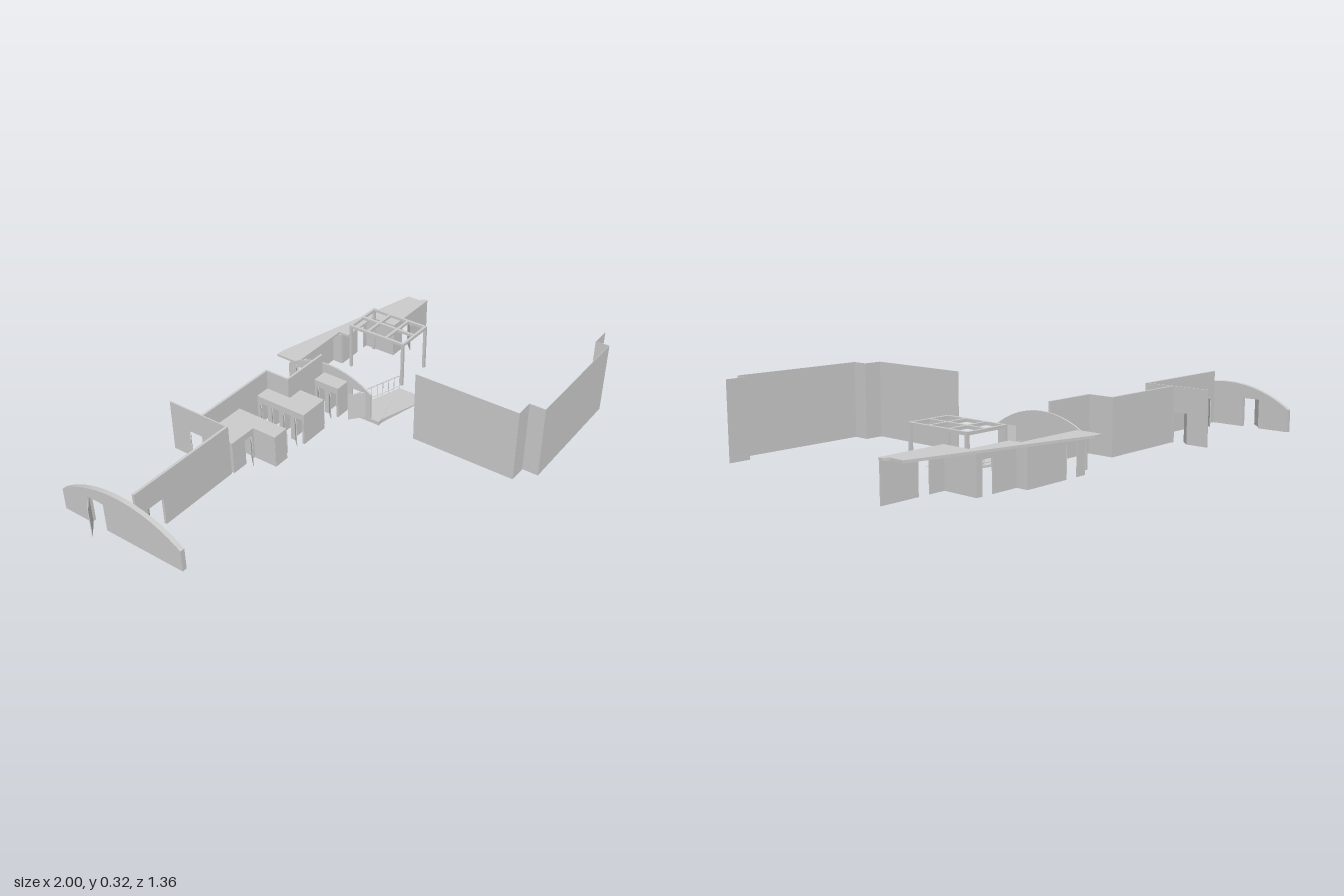
import * as THREE from 'three';

const mat = new THREE.MeshStandardMaterial({ color: 0xcccccc, flatShading: true, side: THREE.DoubleSide });
const FLOOR = 0.02, HIGH = 0.25, LOW = 0.165, DOOR = 0.145, EAVE = 0.15;

export function createModel() {
  const root = new THREE.Group();

  const add = (name, geometry, parent = root) => {
    const mesh = new THREE.Mesh(geometry, mat);
    mesh.name = name;
    parent.add(mesh);
    return mesh;
  };
  const group = (name) => {
    const g = new THREE.Group();
    g.name = name;
    root.add(g);
    return g;
  };
  const box = (name, x0, x1, y0, y1, z0, z1, parent) => {
    const m = add(name, new THREE.BoxGeometry(x1 - x0, y1 - y0, z1 - z0), parent);
    m.position.set((x0 + x1) / 2, (y0 + y1) / 2, (z0 + z1) / 2);
    return m;
  };

  // Upright wall from a to b ([x, z]); doors are [start, end] distances along it.
  // rise > 0 gives the top edge a circular arch.
  function wall(name, a, b, { y0 = FLOOR, y1 = HIGH, t = 0.005, doors = [], door = DOOR, rise = 0, parent = root } = {}) {
    const dx = b[0] - a[0], dz = b[1] - a[1], len = Math.hypot(dx, dz);
    const s = new THREE.Shape();
    s.moveTo(0, y0);
    for (const [d0, d1] of doors) {
      s.lineTo(d0, y0); s.lineTo(d0, door); s.lineTo(d1, door); s.lineTo(d1, y0);
    }
    s.lineTo(len, y0);
    s.lineTo(len, y1);
    if (rise) {
      const h = len / 2, R = (h * h + rise * rise) / (2 * rise);
      for (let i = 1; i < 24; i++) {
        const u = h - (i / 24) * len;
        s.lineTo(h + u, y1 + rise - R + Math.sqrt(R * R - u * u));
      }
    }
    s.lineTo(0, y1);
    const g = new THREE.ExtrudeGeometry(s, { depth: t, bevelEnabled: false });
    g.translate(0, 0, -t / 2);
    const m = add(name, g, parent);
    m.position.set(a[0], 0, a[1]);
    m.rotation.y = -Math.atan2(dz, dx);
    return m;
  }
  const leaf = (a, b, y0 = FLOOR, y1 = DOOR, parent = root) =>
    wall('doorLeaf', a, b, { y0, y1, t: 0.003, parent });

  // Horizontal slab from a plan outline of [x, z] points
  function slab(name, pts, y0, y1, parent) {
    const s = new THREE.Shape(pts.map(([x, z]) => new THREE.Vector2(x, -z)));
    const g = new THREE.ExtrudeGeometry(s, { depth: y1 - y0, bevelEnabled: false });
    g.rotateX(-Math.PI / 2).translate(0, y0, 0);
    return add(name, g, parent);
  }

  // Folded screen standing apart at the front
  const fold = [[0.22, 0.14], [0.22, 0.61], [0.3, 0.61], [0.3, 0.68], [0.87, 0.68], [0.87, 0.62], [0.96, 0.62]];
  const screen = group('foldedScreen');
  for (let i = 1; i < fold.length; i++)
    wall('screenPanel', fold[i - 1], fold[i], { y0: 0, y1: 0.32, t: 0.002, parent: screen });

  // Arched cross walls with their doors
  wall('outerArchWall', [-0.935, -0.68], [-0.935, -0.08], { y1: 0.115, rise: 0.095, t: 0.02, doors: [[0.14, 0.22]] });
  leaf([-0.94, -0.54], [-1, -0.48]);
  wall('innerArchWall', [0.212, -0.505], [0.212, -0.07], { y1: 0.14, rise: 0.07, t: 0.008, doors: [[0.04, 0.11], [0.34, 0.41]], door: 0.14 });
  leaf([0.21, -0.465], [0.165, -0.42]);
  leaf([0.21, -0.095], [0.15, -0.145]);

  // Long high wall, stepping back and forward
  wall('longWall', [-0.925, -0.31], [-0.42, -0.31], { t: 0.011, doors: [[0.055, 0.135]] });
  leaf([-0.87, -0.315], [-0.81, -0.37]);
  wall('crossWall', [-0.42, -0.605], [-0.42, -0.305], { t: 0.006, doors: [[0.095, 0.16]] });
  leaf([-0.42, -0.51], [-0.46, -0.47]);
  wall('rearWall', [-0.42, -0.437], [-0.018, -0.437], { t: 0.01 });
  wall('stepWall', [-0.022, -0.437], [-0.022, -0.32], { t: 0.008 });
  wall('shortWall', [-0.02, -0.325], [0.21, -0.325], { t: 0.01 });

  // Row of small cubicles: doors on side xd, back on side xb
  function cubicles(name, xd, xb, z0, count) {
    const g = group(name), w = 0.06, z1 = z0 + count * w;
    const out = Math.sign(xd - xb), doors = [];
    for (let i = 0; i <= count; i++) {
      const z = z0 + i * w;
      wall('partition', [Math.min(xd, xb), z], [Math.max(xd, xb), z], { y1: LOW, t: 0.003, parent: g });
      if (i === count) break;
      doors.push([i * w + 0.012, i * w + 0.052]);
      leaf([xd, z + 0.015], [xd + out * 0.028, z + 0.043], FLOOR, 0.135, g);
    }
    wall('doorWall', [xd, z0], [xd, z1], { y1: LOW, t: 0.003, doors, door: 0.135, parent: g });
    wall('backWall', [xb, z0], [xb, z1], { y1: LOW, t: 0.003, parent: g });
    box('cubicleRoof', Math.min(xd, xb), Math.max(xd, xb), LOW - 0.004, LOW, z0, z1, g);
  }
  cubicles('westCubicles', -0.21, -0.28, -0.43, 4);
  cubicles('middleCubicles', -0.095, -0.03, -0.43, 4);
  cubicles('innerCubicles', 0.04, -0.03, -0.31, 2);
  cubicles('eastCubicles', 0.14, 0.207, -0.31, 2);

  // Side room joined to the west cubicles
  const room = group('sideRoom');
  box('roomRoof', -0.41, -0.28, LOW - 0.004, LOW, -0.435, -0.3, room);
  wall('roomFront', [-0.41, -0.3], [-0.28, -0.3], { y1: LOW, t: 0.003, doors: [[0.075, 0.115]], door: 0.135, parent: room });
  wall('roomSide', [-0.408, -0.435], [-0.408, -0.3], { y1: LOW, t: 0.003, parent: room });
  leaf([-0.298, -0.3], [-0.33, -0.265], FLOOR, 0.135, room);

  // Low pavilion: stepped front walls under a tapering roof
  const pav = group('pavilion');
  const low = { y0: 0, y1: EAVE, door: 0.125, parent: pav };
  wall('pavilionWall', [0.212, -0.495], [0.52, -0.495], { ...low, doors: [[0.045, 0.105]] });
  wall('pavilionWall', [0.52, -0.495], [0.52, -0.445], low);
  wall('pavilionWall', [0.52, -0.445], [0.715, -0.445], { ...low, doors: [[0.12, 0.17]] });
  wall('pavilionWall', [0.715, -0.445], [0.715, -0.292], low);
  wall('pavilionWall', [0.715, -0.293], [0.998, -0.293], { ...low, doors: [[0.07, 0.12]] });
  leaf([0.315, -0.495], [0.25, -0.43], 0, 0.125, pav);
  leaf([0.835, -0.29], [0.798, -0.252], 0, 0.125, pav);
  slab('pavilionRoof', [[0.212, -0.572], [0.25, -0.57], [0.98, -0.385], [0.98, -0.32], [1, -0.31], [1, -0.29],
    [0.715, -0.29], [0.715, -0.41], [0.522, -0.41], [0.522, -0.46], [0.212, -0.46]], EAVE, 0.16, pav);

  // Pergola: open beam grid on posts
  const pergola = group('pergola'), b = 0.006;
  for (const x of [0.528, 0.62, 0.71]) box('longBeam', x - b, x + b, 0.203, 0.215, -0.404, -0.115, pergola);
  for (const z of [-0.398, -0.308, -0.212, -0.121]) box('crossBeam', 0.522, 0.716, 0.203, 0.215, z - b, z + b, pergola);
  for (const x of [0.528, 0.71]) for (const z of [-0.398, -0.121])
    box('post', x - b, x + b, 0, 0.204, z - b, z + b, pergola);

  // Ramp: a slab whose top falls away towards the outer end
  const ramp = slab('ramp', [[0.212, -0.19], [0.5, -0.113], [0.5, 0.033], [0.24, -0.03], [0.212, -0.03]], 0, 0.018);
  const p = ramp.geometry.attributes.position;
  for (let i = 0; i < p.count; i++)
    if (p.getY(i) > 0.01) p.setY(i, 0.001 + 0.017 * Math.min(1, (0.5 - p.getX(i)) / 0.26));
  ramp.geometry.computeVertexNormals();

  // Railing along the back edge of the ramp
  const rail = group('railing');
  const at = (k, y) => new THREE.Vector3(0.215 + 0.283 * k, y + 0.016 * (1 - k), -0.188 + 0.074 * k);
  const bar = (name, a, c, r) => add(name, new THREE.TubeGeometry(new THREE.LineCurve3(a, c), 1, r, 6), rail);
  for (let i = 0; i <= 9; i++) bar('baluster', at(i / 9, 0), at(i / 9, 0.067), 0.0015);
  bar('handrail', at(0, 0.067), at(1, 0.067), 0.0025);
  bar('lowerRail', at(0, 0.012), at(1, 0.012), 0.0015);

  return root;
}
